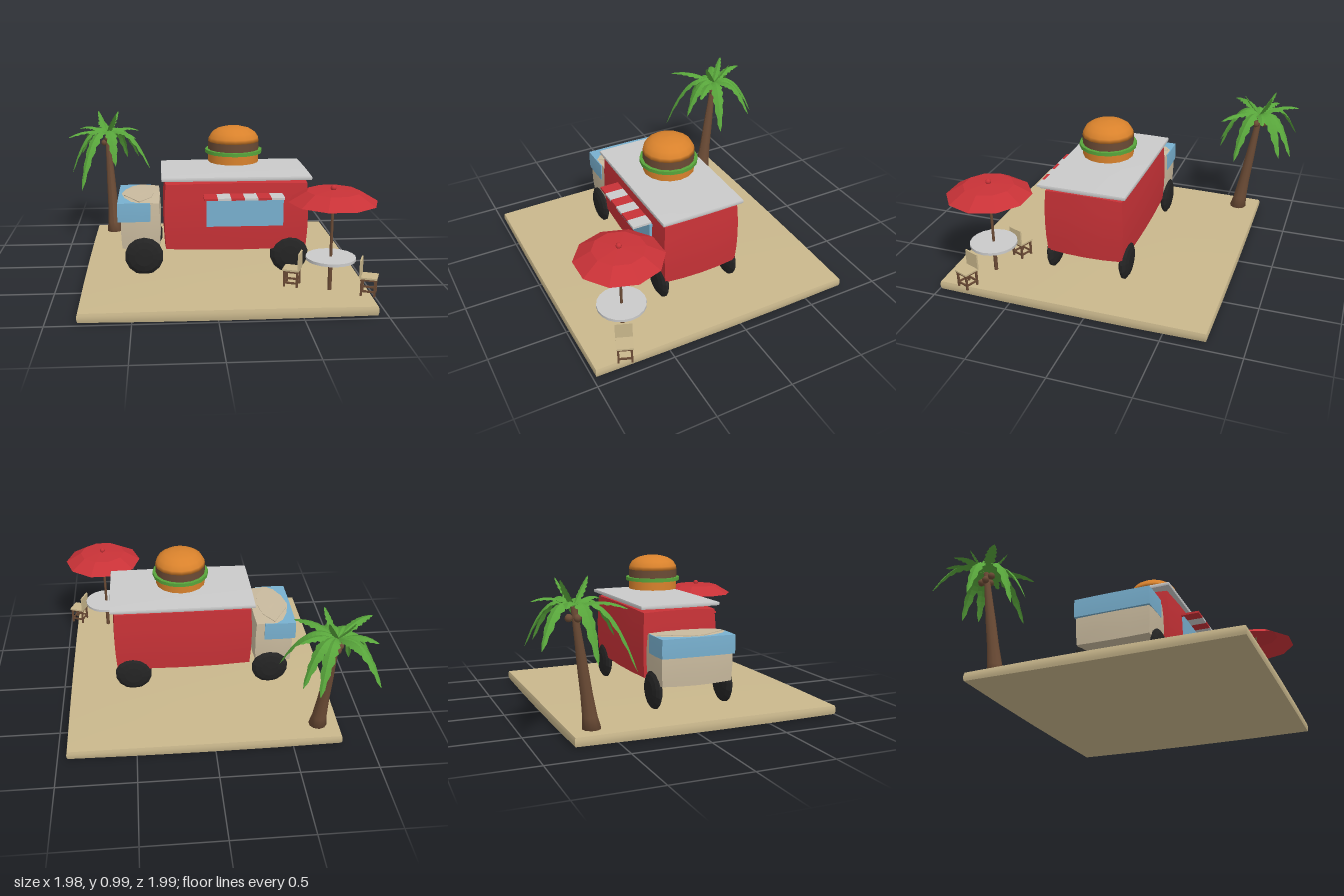
import * as THREE from 'three';

const mat = (name, color, side = THREE.FrontSide) => {
  const m = new THREE.MeshStandardMaterial({ color, side });
  m.name = name;
  return m;
};

export function createModel() {
  const root = new THREE.Group();
  const sand = mat('sand', 0xc9b78c);
  const red = mat('red', 0xc83237, THREE.DoubleSide);
  const grey = mat('light grey', 0xcacaca);
  const blue = mat('glass blue', 0x78b0cf);
  const cream = mat('cream', 0xc9ba9e);
  const black = mat('tyre black', 0x242424);
  const bun = mat('bun orange', 0xd9822c);
  const brown = mat('brown', 0x6b4b35);
  const green = mat('leaf green', 0x58a53b, THREE.DoubleSide);

  const add = (name, geo, material, x = 0, y = 0, z = 0, parent = root) => {
    const m = new THREE.Mesh(geo, material);
    m.name = name;
    m.position.set(x, y, z);
    parent.add(m);
    return m;
  };
  const flat = (geo) => {
    const g = geo.index ? geo.toNonIndexed() : geo;
    g.computeVertexNormals();
    return g;
  };
  const lathe = (pts, n) => new THREE.LatheGeometry(pts.map(([r, y]) => new THREE.Vector2(r, y)), n);

  // Box given by its limits; its faces swell outwards by d at the middle
  const box = (name, material, [x0, x1], [y0, y1], [z0, z1], d = 0, parent = root) => {
    const h = [(x1 - x0) / 2, (y1 - y0) / 2, (z1 - z0) / 2];
    const s = d ? 4 : 1;
    const g = new THREE.BoxGeometry(2, 2, 2, s, s, s);
    const p = g.attributes.position;
    for (let i = 0; i < p.count; i++) {
      const [a, b, c] = [p.getX(i), p.getY(i), p.getZ(i)];
      p.setXYZ(i,
        a * (h[0] - d * (b * b + c * c) / 2),
        b * (h[1] - d * (a * a + c * c) / 2),
        c * (h[2] - d * (a * a + b * b) / 2));
    }
    g.computeVertexNormals();
    return add(name, g, material, (x0 + x1) / 2, (y0 + y1) / 2, (z0 + z1) / 2, parent);
  };

  // Ground slab
  box('ground', sand, [-0.82, 0.945], [0, 0.075], [-0.775, 0.99], 0.01);

  // Truck body and roof
  box('truckBody', red, [-0.31, 0.63], [0.218, 0.678], [-0.157, 0.382], 0.018);
  box('truckRoof', grey, [-0.32, 0.64], [0.683, 0.712], [-0.17, 0.39], 0.004);
  box('servingWindow', blue, [-0.035, 0.458], [0.39, 0.59], [0.36, 0.394]);

  // Striped awning
  for (let i = 0; i < 6; i++) {
    const x = -0.055 + i * 0.084;
    box('awningStripe', i % 2 ? grey : red, [x, x + 0.084], [0.588, 0.602], [0.375, 0.5]);
  }

  // Cab with wrap-round glass and a cream roof patch
  box('cab', cream, [-0.588, -0.322], [0.225, 0.55], [-0.145, 0.358], 0.014);
  box('cabGlass', blue, [-0.603, -0.388], [0.417, 0.544], [-0.147, 0.36], 0.003);
  const patch = new THREE.Shape([[-0.565, 0.05], [-0.46, -0.125], [-0.39, -0.02], [-0.37, 0.1],
    [-0.385, 0.23], [-0.46, 0.34], [-0.565, 0.16]].map(([x, z]) => new THREE.Vector2(x, -z)));
  const patchGeo = new THREE.ExtrudeGeometry(patch, { depth: 0.009, bevelEnabled: false });
  patchGeo.rotateX(-Math.PI / 2);
  add('cabRoofPatch', patchGeo, cream, 0, 0.54, 0);

  // Wheels
  const wheel = flat(lathe([[0, -0.034], [0.06, -0.032], [0.1, -0.022], [0.124, -0.007],
    [0.124, 0.007], [0.1, 0.022], [0.06, 0.032], [0, 0.034]], 14));
  wheel.rotateX(Math.PI / 2);
  for (const x of [-0.435, 0.505])
    for (const z of [-0.135, 0.357]) add('wheel', wheel, black, x, 0.19, z);

  // Burger sign hovering over the roof
  const burger = new THREE.Group();
  burger.name = 'burger';
  burger.position.set(0.16, 0, 0.107);
  root.add(burger);
  const disc = (name, m, r, y0, y1) =>
    add(name, new THREE.CylinderGeometry(r, r, y1 - y0, 16), m, 0, (y0 + y1) / 2, 0, burger);
  disc('bottomBun', bun, 0.166, 0.76, 0.822);
  disc('lettuce', green, 0.187, 0.819, 0.842);
  disc('patty', brown, 0.166, 0.84, 0.898);
  add('topBun', lathe([[0, 0], [0.167, 0], [0.162, 0.025], [0.142, 0.057], [0.105, 0.08],
    [0.055, 0.093], [0, 0.096]], 16), bun, 0, 0.895, 0, burger);

  // Parasol and table
  const seating = new THREE.Group();
  seating.name = 'seating';
  seating.position.set(0.703, 0, 0.705);
  root.add(seating);
  const canopy = flat(lathe([[0.27, 0.63], [0.16, 0.695], [0, 0.704]], 10));
  canopy.rotateY(Math.PI / 2);
  add('parasolCanopy', canopy, red, 0, 0, 0, seating);
  add('parasolKnob', new THREE.SphereGeometry(0.018, 10, 8), red, 0, 0.713, 0, seating);
  add('parasolPole', new THREE.CylinderGeometry(0.009, 0.009, 0.63, 8), brown, 0, 0.385, 0, seating);
  add('tableLeg', new THREE.CylinderGeometry(0.013, 0.013, 0.2, 8), brown, 0, 0.17, 0, seating);
  add('tableTop', new THREE.CylinderGeometry(0.152, 0.152, 0.018, 20), grey, 0, 0.276, 0, seating);

  // Two chairs, opposite each other
  for (const s of [1, -1]) {
    const chair = new THREE.Group();
    chair.name = 'chair';
    chair.position.set(0.22 * s, 0, 0.085 * s);
    chair.rotation.y = -0.37 + (s < 0 ? Math.PI : 0);
    seating.add(chair);
    box('seat', sand, [-0.052, 0.052], [0.176, 0.187], [-0.052, 0.052], 0, chair);
    box('seatFrame', brown, [-0.047, 0.047], [0.164, 0.176], [-0.047, 0.047], 0, chair);
    box('backrest', sand, [-0.054, -0.044], [0.187, 0.29], [-0.052, 0.052], 0, chair);
    for (const e of [-0.04, 0.04]) {
      for (const f of [-0.04, 0.04])
        box('chairLeg', brown, [e - 0.006, e + 0.006], [0.068, 0.165], [f - 0.006, f + 0.006], 0, chair);
      box('stretcher', brown, [e - 0.004, e + 0.004], [0.092, 0.104], [-0.04, 0.04], 0, chair);
      box('stretcher', brown, [-0.04, 0.04], [0.092, 0.104], [e - 0.004, e + 0.004], 0, chair);
    }
  }

  // Leaning palm trunk
  const trunk = lathe([[0, 0.06], [0.06, 0.06], [0.047, 0.14], [0.038, 0.28], [0.033, 0.45],
    [0.025, 0.62], [0.018, 0.8], [0, 0.805]], 10);
  const tp = trunk.attributes.position;
  for (let i = 0; i < tp.count; i++) {
    const t = (tp.getY(i) - 0.06) / 0.74;
    tp.setX(i, tp.getX(i) - 0.678 - 0.042 * t);
    tp.setZ(i, tp.getZ(i) - 0.625 - 0.11 * t);
  }
  trunk.computeVertexNormals();
  add('palmTrunk', trunk, brown);
  for (const [x, y, z] of [[-0.745, 0.735, -0.72], [-0.695, 0.735, -0.715], [-0.72, 0.77, -0.695], [-0.72, 0.735, -0.765]])
    add('coconut', new THREE.SphereGeometry(0.024, 8, 6), brown, x, y, z);

  // Palm leaf: folded strip with a saw edge along a drooping curve
  const crown = new THREE.Vector3(-0.72, 0.8, -0.735);
  const leaf = (tip, width, lift) => {
    const end = new THREE.Vector3(...tip);
    const mid = crown.clone().lerp(end, 0.55);
    mid.y = Math.max(crown.y, mid.y) + lift;
    const curve = new THREE.QuadraticBezierCurve3(crown, mid, end);
    const side = new THREE.Vector3(-(end.z - crown.z), 0, end.x - crown.x).normalize();
    const n = 14, pos = [], idx = [];
    for (let i = 0; i <= n; i++) {
      const t = i / n;
      const c = curve.getPoint(t);
      const up = new THREE.Vector3().crossVectors(curve.getTangent(t), side).normalize();
      if (up.y < 0) up.negate();
      const w = i === n ? 0 : width * Math.pow(Math.sin(Math.PI * (0.06 + 0.92 * Math.pow(t, 0.85))), 0.7) * (i % 2 ? 1.12 : 0.82);
      for (const k of [-1, 0, 1]) {
        const v = c.clone().addScaledVector(side, k * w).addScaledVector(up, -Math.abs(k) * w * 0.4);
        pos.push(v.x, v.y, v.z);
      }
      if (i < n) for (const k of [0, 1]) {
        const a = i * 3 + k;
        idx.push(a, a + 1, a + 3, a + 1, a + 4, a + 3);
      }
    }
    const g = new THREE.BufferGeometry();
    g.setAttribute('position', new THREE.Float32BufferAttribute(pos, 3));
    g.setIndex(idx);
    add('palmLeaf', flat(g), green);
  };
  // Drooping lower leaves
  for (const tip of [[-0.9, 0.43, -0.42], [-0.4, 0.55, -0.62], [-0.65, 0.6, -0.47],
    [-0.99, 0.51, -0.68], [-0.94, 0.6, -0.98], [-0.58, 0.56, -0.99], [-0.49, 0.58, -0.92]])
    leaf(tip, 0.042, 0.13);
  // Level upper leaves
  for (const tip of [[-0.5, 0.8, -0.5], [-0.99, 0.81, -0.51], [-0.94, 0.82, -0.84],
    [-0.8, 0.85, -1.0], [-0.48, 0.81, -0.79]])
    leaf(tip, 0.034, 0.07);
  // Upright crown leaves
  for (const tip of [[-0.79, 0.96, -0.83], [-0.64, 0.96, -0.82], [-0.65, 0.96, -0.63]])
    leaf(tip, 0.024, 0);

  return root;
}
